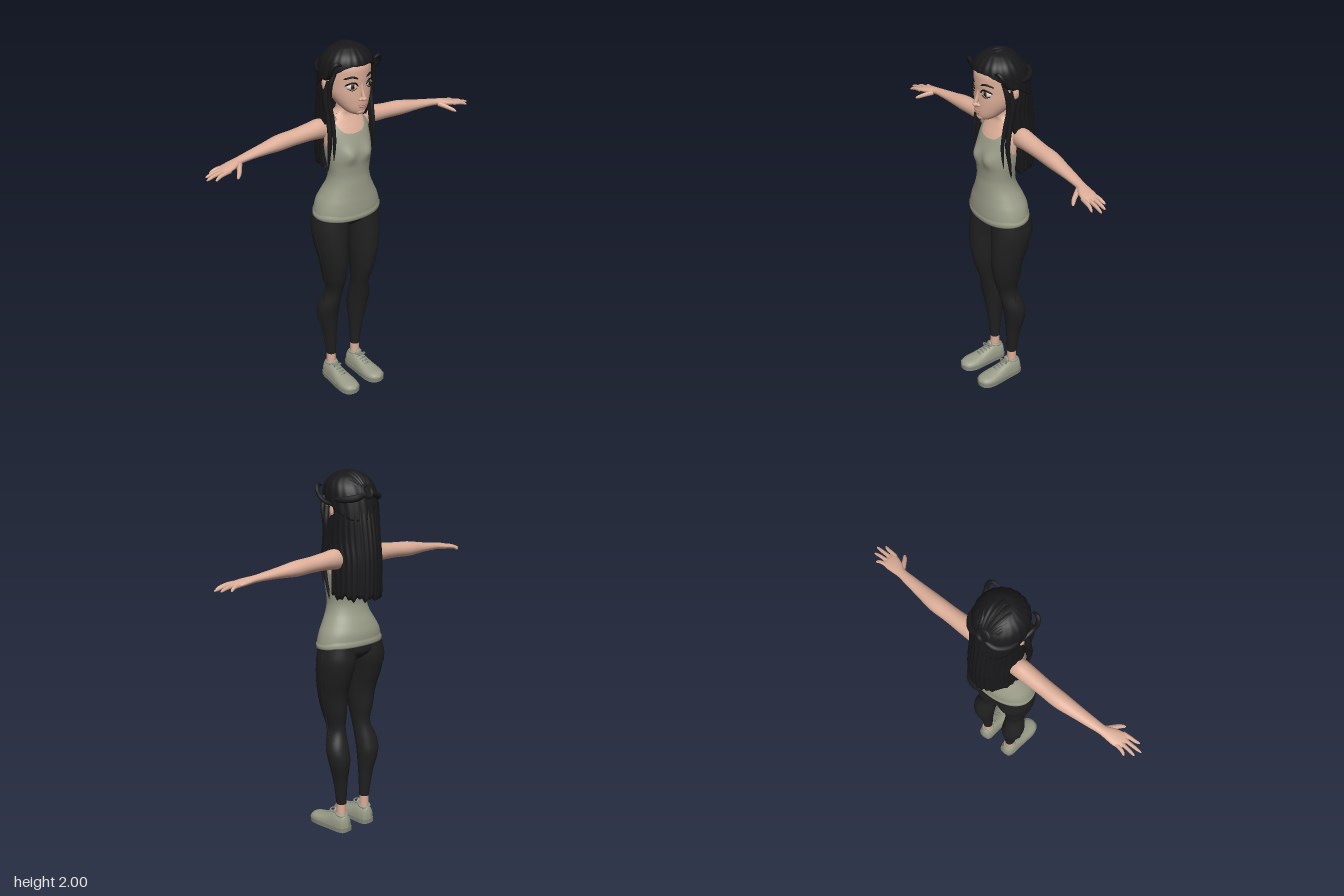
import * as THREE from 'three';

const V = (x, y, z) => new THREE.Vector3(x, y, z);
const mat = (name, color, side = THREE.FrontSide) =>
  Object.assign(new THREE.MeshStandardMaterial({ color, side }), { name });

// Smooth interpolation of table rows [t, a, b, ...] at t
function at(rows, t) {
  let i = 0;
  while (i < rows.length - 2 && t > rows[i + 1][0]) i++;
  const p = rows[i], q = rows[i + 1], o = rows[i - 1] || p, r = rows[i + 2] || q;
  const h = q[0] - p[0], u = Math.min(1, Math.max(0, (t - p[0]) / h));
  return p.map((_, k) => {
    const m = h * (q[k] - o[k]) / (q[0] - o[0]), n = h * (r[k] - p[k]) / (r[0] - p[0]);
    return p[k] * (1 + 2 * u) * (1 - u) ** 2 + m * u * (1 - u) ** 2 + q[k] * u * u * (3 - 2 * u) + n * u * u * (u - 1);
  });
}

// Surface from fn(u, v), optionally closed around u
function grid(nu, nv, fn, closed = true) {
  const pos = [], idx = [], w = closed ? nu : nu + 1;
  for (let j = 0; j <= nv; j++) for (let i = 0; i < w; i++) pos.push(...fn(i / nu, j / nv));
  for (let j = 0; j < nv; j++) for (let i = 0; i < nu; i++) {
    const a = j * w + i, b = j * w + (i + 1) % w;
    idx.push(a, b, b + w, a, b + w, a + w);
  }
  const g = new THREE.BufferGeometry();
  g.setAttribute('position', new THREE.Float32BufferAttribute(pos, 3));
  g.setIndex(idx);
  g.computeVertexNormals();
  return g;
}

// Point on a body section; rows are [y, centre x, half width, front z, back depth]
function ring(rows, th, y, grow = 0, pw = 1) {
  const [, cx, hw, f, b] = at(rows, y), s = Math.sin(th), c = Math.cos(th);
  const e = k => Math.sign(k) * Math.abs(k) ** pw;
  return [cx + (hw + grow) * e(s), y, (f - b) / 2 + ((f + b) / 2 + grow) * e(c)];
}
const loft = (rows, nu, nv, pw = 1) => {
  const y0 = rows[0][0], y1 = rows[rows.length - 1][0];
  return grid(nu, nv, (u, v) => ring(rows, u * Math.PI * 2, y0 + (y1 - y0) * v, 0, pw));
};

// Tapered tube through points
function strand(pts, r, taper = u => Math.sqrt(Math.max(0, 1 - u * u)), n = 28) {
  const c = new THREE.CatmullRomCurve3(pts), g = new THREE.TubeGeometry(c, n, r, 8), p = g.attributes.position;
  for (let i = 0; i <= n; i++) {
    const m = c.getPointAt(i / n), k = Math.max(0.04, taper(i / n));
    for (let j = 0; j <= 8; j++) {
      const q = V(0, 0, 0).fromBufferAttribute(p, i * 9 + j).sub(m).multiplyScalar(k).add(m);
      p.setXYZ(i * 9 + j, q.x, q.y, q.z);
    }
  }
  return g;
}
const both = u => Math.sqrt(Math.max(0, 1 - (2 * u - 1) ** 4));
const ball = (x, y, z, a, b, c, ry = 0) =>
  new THREE.SphereGeometry(1, 24, 16).scale(a, b, c).rotateY(ry).translate(x, y, z);

function mirrored(geo) {
  const g = geo.clone().scale(-1, 1, 1);
  if (!g.index) g.setIndex([...Array(g.attributes.position.count).keys()]);
  const a = g.index.array;
  for (let i = 0; i < a.length; i += 3) [a[i], a[i + 1]] = [a[i + 1], a[i]];
  return g;
}

export function createModel() {
  const root = new THREE.Group();
  const skin = mat('skin', 0xdcae98), hair = mat('black hair', 0x18181a, THREE.DoubleSide);
  const cloth = mat('sage cloth', 0x999b87, THREE.DoubleSide), pants = mat('black trousers', 0x202021, THREE.DoubleSide);
  const sole = mat('shoe sole', 0x86887a), white = mat('eye white', 0xeeeae4);
  const brown = mat('iris brown', 0x4a2f20), lip = mat('lip', 0xb9837a), dark = mat('lash black', 0x0c0b0b);
  const add = (name, geo, m) => {
    const o = new THREE.Mesh(geo, m);
    o.name = name;
    root.add(o);
  };
  const pair = (name, geo, m) => { add(name + 'Left', geo, m); add(name + 'Right', mirrored(geo), m); };

  // Torso: one shape split along the neckline into shirt and skin
  const torso = [[1.03, 0, .183, .11, .11], [1.055, 0, .19, .123, .117], [1.09, 0, .193, .128, .12], [1.15, 0, .177, .124, .118],
    [1.2, 0, .15, .118, .1], [1.25, 0, .124, .113, .076], [1.3, 0, .113, .108, .062], [1.35, 0, .117, .11, .066],
    [1.4, 0, .125, .114, .08], [1.45, 0, .13, .108, .093], [1.5, 0, .133, .09, .098], [1.55, 0, .132, .066, .096],
    [1.59, 0, .114, .042, .09], [1.62, 0, .07, .026, .076], [1.645, 0, .042, .028, .062], [1.7, 0, .038, .035, .06]];
  const neckline = [[0, 1.53], [25, 1.542], [45, 1.585], [55, 1.605], [64, 1.59], [75, 1.51], [90, 1.465],
    [105, 1.51], [118, 1.59], [128, 1.605], [140, 1.585], [180, 1.57]];
  const top = th => at(neckline, Math.abs(((th * 180 / Math.PI + 180) % 360) - 180))[1];
  const body = (th, y, grow) => {
    const p = ring(torso, th, y, grow, .92);
    if (Math.cos(th) > 0) p[2] += .016 * Math.exp(-(((Math.abs(p[0]) - .058) / .035) ** 2) - ((y - 1.425) / .04) ** 2);
    return p;
  };
  add('shirt', grid(96, 70, (u, v) => {
    const th = u * Math.PI * 2, lo = 1.055 - .012 * Math.cos(th) + .008;
    return body(th, lo + (top(th) - lo) * v, v === 0 ? -.012 : v < .07 ? .008 : .004);
  }), cloth);
  add('chestAndNeck', grid(96, 30, (u, v) => {
    const th = u * Math.PI * 2, lo = top(th) - .02;
    return body(th, lo + (1.7 - lo) * v, 0);
  }), skin);
  pair('shirtStrap', strand([V(.083, 1.595, .02), V(.083, 1.612, 0), V(.083, 1.615, -.03), V(.083, 1.61, -.06), V(.083, 1.59, -.085)], .014, both), cloth);

  // Trousers
  const leg = [[.16, .06, .114, .002, .055], [.3, .055, .135, .013, .07], [.43, .045, .168, .03, .093], [.5, .045, .172, .045, .08],
    [.6, .045, .14, .066, .05], [.7, .035, .16, .098, .06], [.8, .028, .18, .114, .07], [.9, .02, .197, .115, .1],
    [1, .004, .205, .108, .12], [1.08, 0, .193, .102, .112]].map(([y, i, o, f, b]) => [y, (i + o) / 2, (o - i) / 2, f, b]);
  pair('trouserLeg', loft(leg, 40, 60), pants);
  add('hips', loft([[.985, 0, .03, .04, .05], [1.01, 0, .13, .075, .085], [1.04, 0, .185, .098, .112], [1.09, 0, .188, .108, .113]], 48, 14), pants);
  pair('backPocket', grid(8, 8, (u, v) => ring(leg, Math.PI * (.8 + .38 * u), .955 + .08 * v, .003), false), pants);
  pair('sideSeam', strand([.18, .3, .43, .55, .7, .85, 1, 1.06].map(y => V(...ring(leg, Math.PI / 2, y))), .003, () => 1, 40), pants);

  // Ankles and shoes
  pair('ankle', new THREE.CylinderGeometry(.025, .027, .14, 20).translate(.087, .145, -.026), skin);
  const shoe = [[-.077, .085, .006, .03], [-.07, .085, .03, .066], [-.04, .086, .041, .075], [0, .087, .044, .08], [.03, .088, .046, .07],
    [.08, .089, .051, .05], [.13, .09, .054, .037], [.17, .091, .047, .029], [.193, .091, .03, .02], [.202, .091, .006, .008]];
  pair('shoeUpper', grid(28, 40, (u, v) => {
    const z = -.077 + .279 * v, [, cx, hw, h] = at(shoe, z), a = u * Math.PI;
    return [cx + hw * Math.cos(a), .022 + h * Math.sin(a) ** .8, z];
  }, false), cloth);
  const edge = s => shoe.map(([z, cx, hw]) => new THREE.Vector2(cx + s * (hw + .004), z));
  const outline = new THREE.Shape().moveTo(.091, -.079);
  outline.splineThru(edge(1)).splineThru(edge(-1).reverse());
  pair('shoeSole', new THREE.ExtrudeGeometry(outline, { depth: .025, bevelEnabled: false, curveSegments: 40 })
    .rotateX(Math.PI / 2).translate(0, .025, 0), sole);
  pair('shoeCollar', new THREE.TorusGeometry(.029, .008, 10, 28).rotateX(Math.PI / 2 - .15).translate(.087, .096, -.028), cloth);
  pair('shoeTongue', ball(.087, .1, .012, .022, .024, .01), cloth);
  for (let i = 0; i < 4; i++) {
    const z = .025 + i * .02, y = .022 + at(shoe, z)[3];
    pair('lace' + i, strand([V(.062, y - .013, z), V(.088, y + .002, z + .004), V(.114, y - .013, z)], .005, both, 12), sole);
  }
  pair('laceBow', new THREE.TorusGeometry(.014, .004, 8, 18).scale(1.5, 1, 1).rotateX(1.2).translate(.09, .103, .035), sole);

  // Arms, rows [x, centre y, centre z, y radius, z radius]
  const arm = [[.09, 1.545, -.04, .05, .045], [.15, 1.553, -.04, .053, .049], [.2, 1.552, -.04, .047, .048], [.3, 1.546, -.04, .041, .044],
    [.4, 1.54, -.04, .04, .044], [.5, 1.533, -.033, .029, .036], [.58, 1.527, -.027, .022, .03], [.65, 1.52, -.02, .018, .026],
    [.69, 1.514, -.01, .018, .036], [.73, 1.508, -.003, .016, .043], [.76, 1.503, .002, .012, .042], [.775, 1.501, .003, .002, .036]];
  pair('arm', grid(28, 70, (u, v) => {
    const x = .09 + .685 * v, [, y, z, ry, rz] = at(arm, x), a = u * Math.PI * 2;
    return [x, y + ry * Math.cos(a), z + rz * Math.sin(a)];
  }), skin);
  const digit = u => (1 - .3 * u) * Math.sqrt(Math.max(0, 1 - u ** 8));
  [['pinky', .805, -.046, -.03], ['ringFinger', .845, -.014, -.009], ['middleFinger', .86, .02, .013], ['indexFinger', .828, .052, .034]].forEach(([n, x, z, z0]) =>
    pair(n, strand([V(.735, 1.506, z0), V(.77, 1.503, z0 * .7 + z * .3), V((x + .77) / 2, 1.497, (z + z0) / 2), V(x, 1.485, z)], .0115, digit), skin));
  pair('thumb', strand([V(.66, 1.512, 0), V(.68, 1.502, .03), V(.7, 1.49, .058), V(.722, 1.476, .08)], .0145, digit), skin);

  // Head and face
  const head = [[1.642, 0, .014, .108, -.075], [1.652, 0, .04, .123, -.045], [1.675, 0, .067, .133, 0], [1.72, 0, .097, .135, .06],
    [1.76, 0, .114, .134, .1], [1.8, 0, .121, .132, .12], [1.85, 0, .123, .134, .13], [1.9, 0, .117, .129, .12],
    [1.95, 0, .088, .09, .08], [1.98, 0, .02, .03, .01]];
  add('head', loft(head, 56, 50), skin);
  const face = (x, y, out = 0) => {
    const [, , hw, f, b] = at(head, y);
    return V(x, y, (f - b) / 2 + (f + b) / 2 * Math.sqrt(1 - (x / hw) ** 2) + out);
  };
  add('noseTip', ball(0, 1.736, .142, .016, .013, .019), skin);
  add('noseBridge', strand([V(0, 1.81, .126), V(0, 1.775, .134), V(0, 1.74, .146)], .012, u => .6 + .4 * u), skin);
  pair('nostril', ball(.015, 1.733, .136, .01, .009, .011), skin);
  add('upperLip', ball(0, 1.702, .135, .025, .006, .012), lip);
  add('lowerLip', ball(0, 1.693, .135, .021, .007, .012), lip);
  add('chin', ball(0, 1.664, .115, .03, .018, .018), skin);
  pair('ear', ball(.128, 1.8, -.012, .013, .033, .019, .3), skin);
  const e = face(.054, 1.803);
  pair('eye', ball(e.x, e.y, e.z - .008, .027, .0185, .014, .4), white);
  pair('iris', ball(e.x - .001, e.y, e.z + .001, .0135, .015, .007, .3), brown);
  pair('pupil', ball(e.x - .001, e.y, e.z + .0045, .007, .008, .0045, .3), dark);
  pair('upperLash', strand([face(.026, 1.801, .002), face(.038, 1.818, .005), face(.056, 1.824, .006), face(.073, 1.817, .005), face(.086, 1.807, .003)], .0045, both), dark);
  pair('lowerLash', strand([face(.03, 1.794, .002), face(.054, 1.783, .004), face(.078, 1.793, .003)], .002, both), dark);
  pair('eyebrow', strand([face(.026, 1.842, .001), face(.052, 1.852, .001), face(.09, 1.842, .001)], .0055, both), hair);

  // Hair cap following the hairline
  const cap = [[1.74, 0, .134, .13, .172], [1.82, 0, .139, .137, .16], [1.88, 0, .141, .139, .145], [1.92, 0, .133, .134, .127],
    [1.95, 0, .115, .117, .1], [1.975, 0, .084, .088, .07], [1.99, 0, .047, .06, .025], [1.995, 0, .003, .022, -.018]];
  const hairline = [[0, 1.902], [30, 1.9], [55, 1.87], [75, 1.84], [95, 1.81], [130, 1.75], [180, 1.75]];
  add('hairCap', grid(120, 36, (u, v) => {
    const th = u * Math.PI * 2, lo = at(hairline, Math.min(u, 1 - u) * 360)[1];
    return ring(cap, th, lo + (1.995 - lo) * Math.sin(v * Math.PI / 2), (v === 0 ? -.018 : 0) + .002 * Math.sin(th * 20) * (1 - v));
  }), hair);

  // Locks swept back over the crown to a knot
  const onCap = p => {
    const c = V(0, 1.82, 0), r = V(.134, .168, p.z > 0 ? .134 : .143);
    return p.sub(c).divide(r).normalize().multiply(r).add(c);
  };
  [-84, -66, -48, -30, -12, 8, 28, 48, 66, 84].forEach((d, i) => {
    const th = d * Math.PI / 180, a = V(...ring(cap, th, at(hairline, Math.abs(d))[1] + .012));
    const b = V(.03 * Math.sin(th), 1.905, -.13), pts = [];
    for (let k = 0; k <= 8; k++) pts.push(onCap(a.clone().lerp(b, k / 8).add(V(0, .06 * Math.sin(k / 8 * Math.PI), 0))));
    add('sweptLock' + i, strand(pts, .0135, both), hair);
  });
  add('hairKnot', new THREE.TorusGeometry(.03, .014, 10, 28).rotateX(.5).translate(0, 1.895, -.128), hair);
  pair('backTwist', strand([V(.13, 1.86, -.03), V(.115, 1.86, -.085), V(.075, 1.87, -.13), V(.02, 1.885, -.143)], .018, both), hair);

  // Long back hair with a ragged lower edge, rows [y, half width, side edge z, back depth]
  const curtain = [[1.33, .138, -.012, .198], [1.45, .14, -.012, .2], [1.55, .138, -.008, .199], [1.65, .138, .02, .19],
    [1.75, .138, .005, .174], [1.84, .132, -.03, .152]];
  add('backHair', grid(240, 40, (u, v) => {
    const inner = u >= .5, th = Math.PI * (.5 + 2 * (inner ? 1 - u : u));
    const lo = 1.345 + .01 * Math.sin(th * 13) + .007 * Math.sin(th * 31 + 1), y = lo + (1.84 - lo) * v;
    const [, hw, zc, b] = at(curtain, y), k = (v === 0 ? .93 : inner ? .8 : 1) + .012 * Math.sin(th * 36);
    return [hw * k * Math.sin(th), y, zc + (zc + b) * k * Math.cos(th)];
  }), hair);

  // Loose locks framing the face
  pair('templeLoop', strand([V(.1, 1.915, .1), V(.135, 1.925, .095), V(.152, 1.9, .08), V(.148, 1.865, .06), V(.14, 1.84, .02), V(.13, 1.83, -.03)], .012, both), hair);
  pair('frontLock', strand([V(.122, 1.87, .06), V(.14, 1.81, .052), V(.137, 1.72, .04), V(.13, 1.63, .055), V(.13, 1.52, .072), V(.128, 1.4, .062)], .013), hair);
  pair('sideLock', strand([V(.13, 1.82, .03), V(.145, 1.74, .02), V(.137, 1.64, .03), V(.138, 1.52, .045), V(.134, 1.42, .03), V(.13, 1.33, .015)], .016), hair);
  return root;
}
